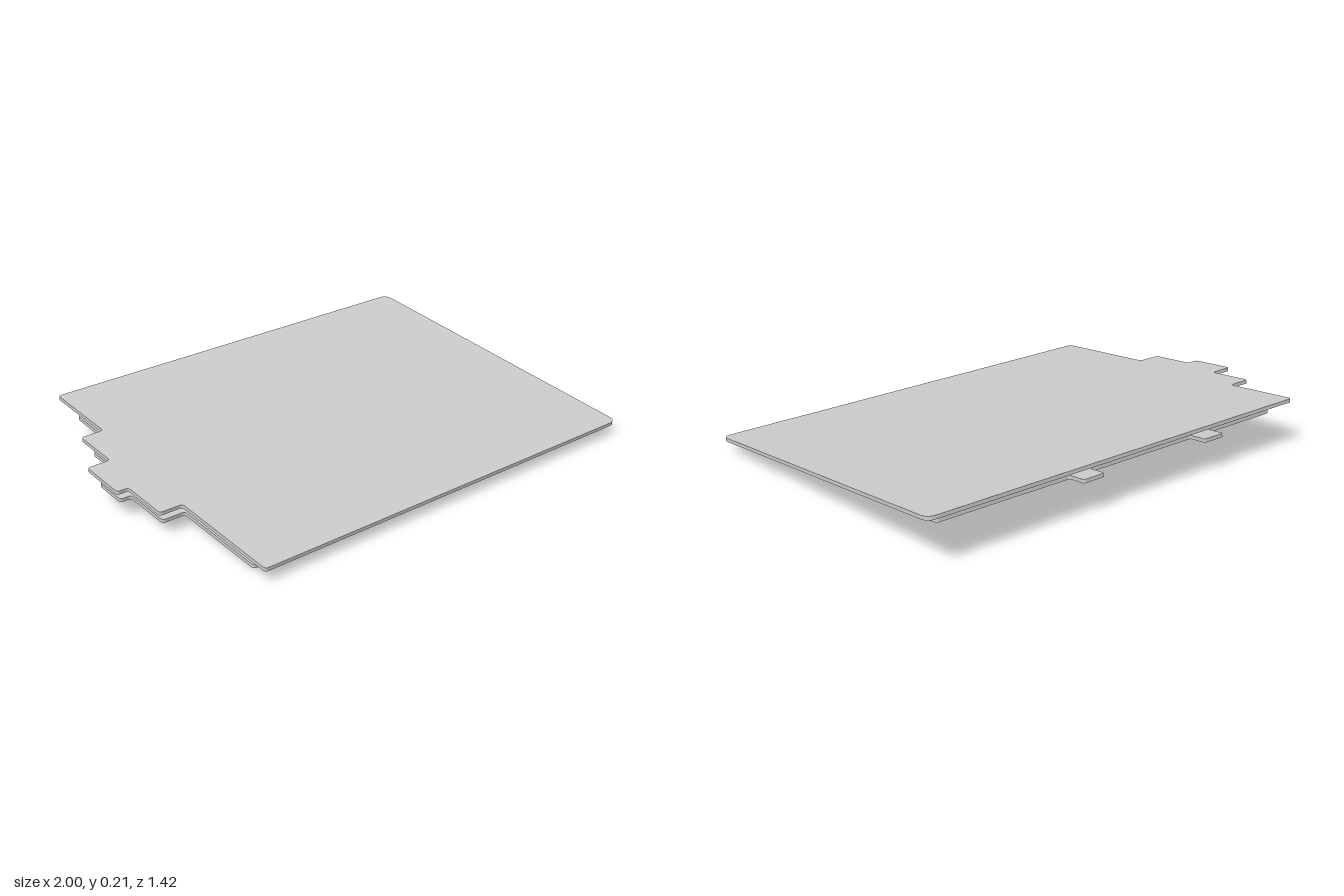
import * as THREE from 'three';

const TILT = THREE.MathUtils.degToRad(6);
const THICK = 0.015;

// Closed outline from [x, z, radius] corners, every corner rounded
function roundedOutline(corners) {
  const pts = corners.map(([x, z]) => new THREE.Vector2(x, -z / Math.cos(TILT)));
  const shape = new THREE.Shape();
  pts.forEach((p, i) => {
    const prev = pts[(i + pts.length - 1) % pts.length];
    const next = pts[(i + 1) % pts.length];
    const r = corners[i][2] ?? 0.015;
    const a = prev.clone().sub(p).setLength(r).add(p);
    const b = next.clone().sub(p).setLength(r).add(p);
    if (i === 0) shape.moveTo(a.x, a.y);
    else shape.lineTo(a.x, a.y);
    shape.quadraticCurveTo(p.x, p.y, b.x, b.y);
  });
  shape.closePath();
  return shape;
}

// Thin sheet, tilted so that its back edge is raised
function makePlate(name, corners, height) {
  const geometry = new THREE.ExtrudeGeometry(roundedOutline(corners), {
    depth: THICK, bevelEnabled: false, curveSegments: 6,
  });
  geometry.translate(0, 0, -THICK / 2);
  geometry.rotateX(-Math.PI / 2);
  const mesh = new THREE.Mesh(geometry, new THREE.MeshStandardMaterial({ color: 0xcccccc }));
  mesh.name = name;
  mesh.rotation.x = TILT;
  mesh.position.y = height;
  return mesh;
}

// Stepped side edge, from front to back; inset shrinks it all round
function steppedEdge(inset, front, back) {
  const i = inset;
  return [
    [-0.85 + i, front], [-0.85 + i, 0.22 - i],
    [-0.95 + i, 0.22 - i], [-0.95 + i, 0.02 - i],
    [-1 + i, 0.02 - i], [-1 + i, -0.18 + i],
    [-0.9 + i, -0.18 + i], [-0.9 + i, -0.38 + i],
    [-0.8 + i, -0.38 + i], [-0.8 + i, back],
  ];
}

// Small tab that sticks out of the back edge
const tab = (x, back, tip) => [
  [x - 0.05, back, 0.01], [x - 0.05, tip, 0.01], [x + 0.05, tip, 0.01], [x + 0.05, back, 0.01],
];

export function createModel() {
  const group = new THREE.Group();
  group.name = 'steppedPlates';

  // Large upper sheet
  group.add(makePlate('upperPlate', [
    ...steppedEdge(0, 0.705, -0.71), [1, -0.71, 0.04], [1, 0.705, 0.04],
  ], 0.128));

  // Smaller lower sheet with two tabs at the back
  group.add(makePlate('lowerPlate', [
    ...steppedEdge(0.03, 0.6, -0.62),
    ...tab(-0.37, -0.62, -0.7), ...tab(0.25, -0.62, -0.7),
    [0.9, -0.62], [0.9, 0.6],
  ], 0.071));

  return group;
}
